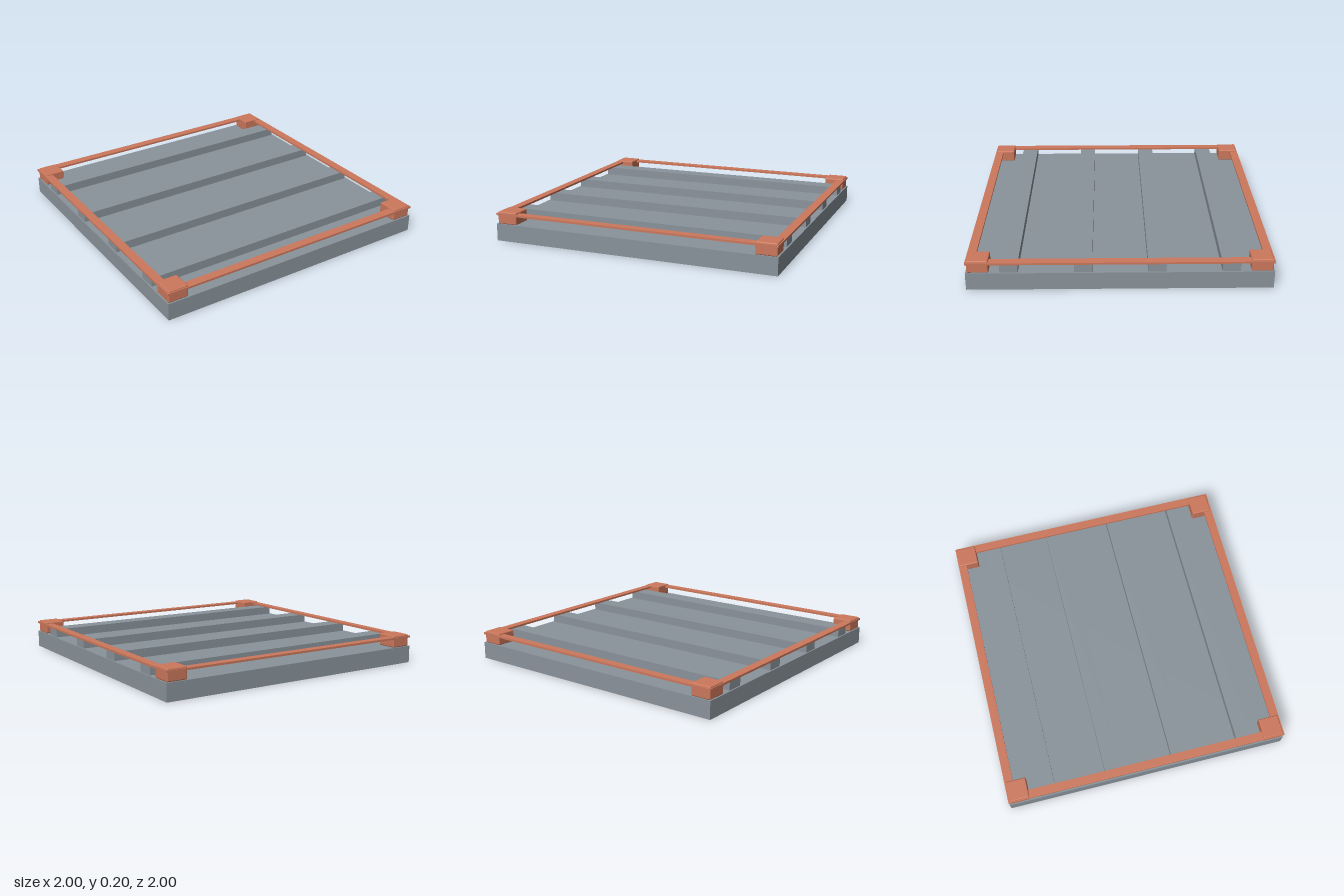
import * as THREE from 'three';
import { RoundedBoxGeometry } from 'three/addons/geometries/RoundedBoxGeometry.js';

export function createModel() {
  const model = new THREE.Group();
  model.name = 'platform';
  const slate = new THREE.MeshStandardMaterial({ color: 0x8a939b });
  const copper = new THREE.MeshStandardMaterial({ color: 0xcc785c });

  const add = (name, geometry, material, x, y, z) => {
    const mesh = new THREE.Mesh(geometry, material);
    mesh.name = name;
    mesh.position.set(x, y, z);
    model.add(mesh);
  };

  // Base slab
  add('baseSlab', new THREE.BoxGeometry(2, 0.12, 2), slate, 0, 0.06, 0);

  // Cross ribs lying on the slab
  const ribGeometry = new THREE.BoxGeometry(1.98, 0.06, 0.118);
  for (const z of [-0.72, -0.24, 0.24, 0.72]) add('crossRib', ribGeometry, slate, 0, 0.15, z);

  // Thin rim rails around the edge
  const longRail = new THREE.BoxGeometry(2, 0.014, 0.06);
  const sideRail = new THREE.BoxGeometry(0.06, 0.014, 1.88);
  for (const s of [-1, 1]) {
    add(s > 0 ? 'frontRail' : 'backRail', longRail, copper, 0, 0.187, s * 0.97);
    add(s > 0 ? 'leftRail' : 'rightRail', sideRail, copper, s * 0.97, 0.187, 0);
  }

  // Corner blocks with softened edges
  const block = new RoundedBoxGeometry(0.142, 0.085, 0.142, 2, 0.008);
  for (const x of [-1, 1])
    for (const z of [-1, 1]) add('cornerBlock', block, copper, x * 0.921, 0.1615, z * 0.921);

  return model;
}
